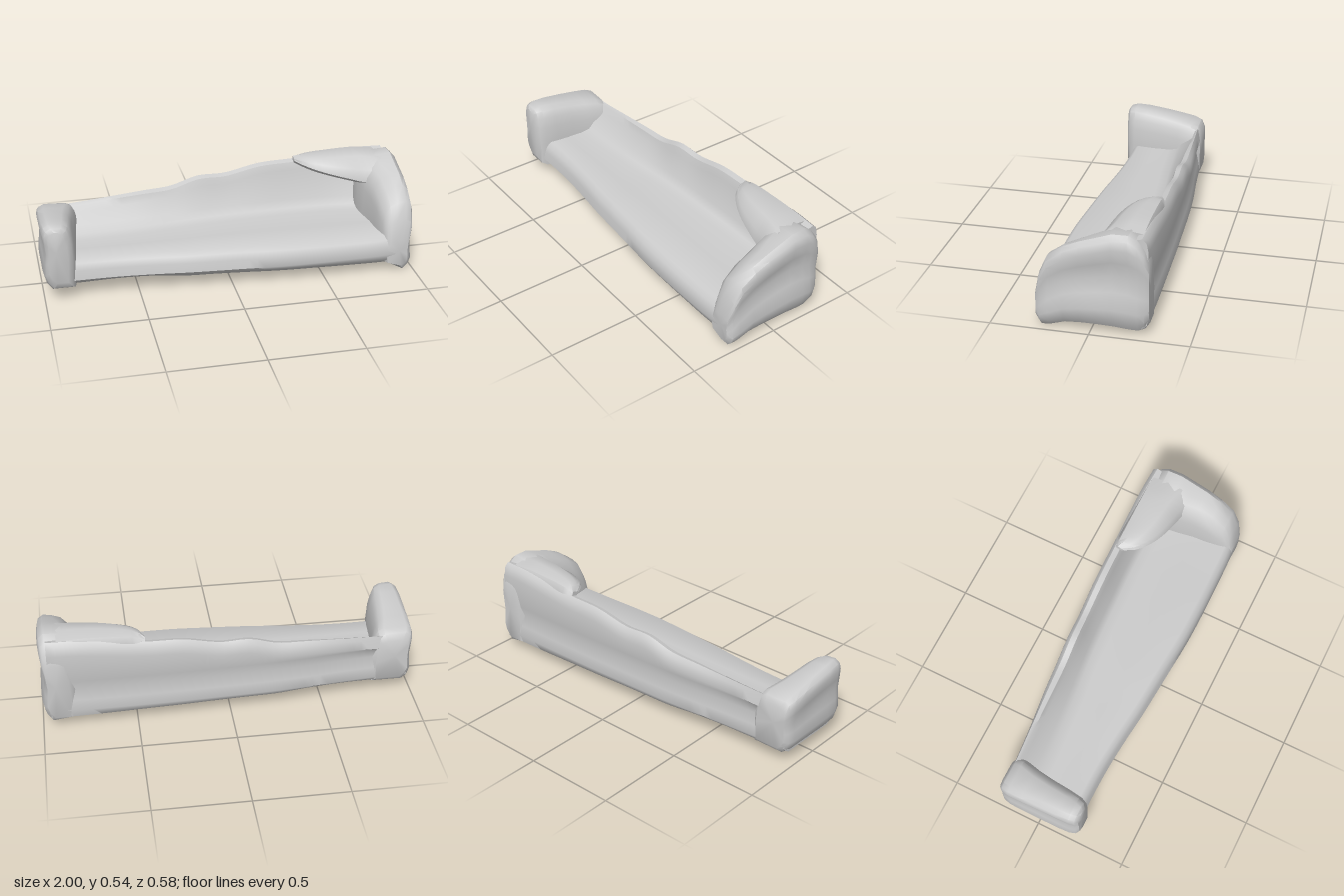
import * as THREE from 'three';
import { toCreasedNormals } from 'three/addons/utils/BufferGeometryUtils.js';

const material = new THREE.MeshStandardMaterial({ color: 0xcccccc });

// Skin a list of rings (arrays of [x, y, z]) and close both ends.
function loft(name, rings, crease = 0.75) {
  const n = rings[0].length, pos = rings.flat(2), idx = [];
  for (let i = 0; i < rings.length - 1; i++) {
    for (let j = 0; j < n; j++) {
      const a = i * n + j, b = i * n + (j + 1) % n;
      idx.push(a, b, a + n, b, b + n, a + n);
    }
  }
  [0, rings.length - 1].forEach((r, end) => {
    const c = pos.length / 3;
    for (let k = 0; k < 3; k++) pos.push(rings[r].reduce((s, p) => s + p[k], 0) / n);
    for (let j = 0; j < n; j++) {
      const a = r * n + j, b = r * n + (j + 1) % n;
      if (end) idx.push(a, b, c); else idx.push(b, a, c);
    }
  });
  // turn the faces outwards whichever way the rings run
  const P = (i) => new THREE.Vector3().fromArray(pos, i * 3);
  let volume = 0;
  for (let i = 0; i < idx.length; i += 3) volume += P(idx[i]).dot(P(idx[i + 1]).cross(P(idx[i + 2])));
  if (volume < 0) idx.reverse();
  const g = new THREE.BufferGeometry();
  g.setAttribute('position', new THREE.Float32BufferAttribute(pos, 3));
  g.setIndex(idx);
  const mesh = new THREE.Mesh(toCreasedNormals(g, crease), material);
  mesh.name = name;
  return mesh;
}

// Smoothly resample rows of [position, ...values].
function resample(rows, count) {
  const size = rows[0].length - 1;
  const curve = new THREE.CubicInterpolant(rows.map((r) => r[0]), rows.flatMap((r) => r.slice(1)), size);
  const first = rows[0][0], span = rows[rows.length - 1][0] - first;
  return Array.from({ length: count + 1 }, (_, i) => {
    const t = first + span * i / count;
    return [t, ...curve.evaluate(t)];
  });
}

// Seat and backrest in one section: front z, back z, seat y, seat back z, crest y, crest z, bottom y
function bodyRing([x, zF, zB, yS, zS, yT, zC, yB]) {
  return [
    [yB, zF - 0.05], [yB + 0.03, zF - 0.012], [0.11, zF], [0.16, zF - 0.008],
    [yS - 0.025, zF - 0.02], [yS - 0.004, zF - 0.045], [yS - 0.004, 0.06],
    [yS, zS + 0.07], [yS + 0.012, zS + 0.02], [yS + 0.05, zS - 0.01],
    [yT - 0.05, zC + 0.012], [yT - 0.01, zC - 0.002], [yT, (zC + zB) / 2],
    [yT - 0.02, zB + 0.012], [yT - 0.07, zB + 0.002], [0.29, zB + 0.008],
    [0.235, zB + 0.02], [0.17, zB + 0.008], [0.11, zB], [yB + 0.02, zB + 0.01], [yB, zB + 0.04],
  ].map(([y, z]) => [x, y, z]);
}

// Arm section: top y, bottom y, inner x, outer x, waist depth, width of the rounded inner shoulder
function armRing([z, t, b, xi, xo, waist, shoulder]) {
  const s = Math.sign(xo), h = t - b;
  return [
    [xi, Math.max(b, 0.06)], [xo - s * 0.04, b], [xo - s * 0.012, b + h * 0.1], [xo, b + h * 0.22],
    [xo - s * waist * 0.5, b + h * 0.4], [xo - s * waist, b + h * 0.56], [xo - s * waist * 0.4, b + h * 0.72],
    [xo, b + h * 0.86], [xo - s * 0.008, b + h * 0.95], [xo - s * 0.035, t],
    [xi + s * shoulder, t - h * 0.015], [xi + s * shoulder * 0.5, t - h * 0.06],
    [xi + s * 0.012, t - h * 0.17], [xi, t - h * 0.32], [xi - s * 0.005, b + h * 0.42],
  ].map(([x, y]) => [x, y, z]);
}

// Overhanging corner pad: lip z, lip y, top y, underside y
function padRing([x, zL, yL, yT, yU]) {
  const back = -0.272;
  return [
    [yL, zL], [yL + (yT - yL) * 0.5, zL - 0.012], [yT - 0.008, zL + (back - zL) * 0.3], [yT, zL + (back - zL) * 0.6],
    [yT - 0.012, back + 0.02], [yT - 0.05, back], [yU - 0.01, back + 0.01],
    [yU, zL + (back - zL) * 0.65], [(yU + yL) / 2 - 0.005, zL + (back - zL) * 0.25],
  ].map(([y, z]) => [x, y, z]);
}

export function createModel() {
  const group = new THREE.Group();
  group.name = 'sofa';

  // Long seat with a backrest that climbs towards the left
  group.add(loft('seatAndBackrest', resample([
    [-0.97, 0.212, -0.21, 0.225, -0.10, 0.36, -0.18, 0.072],
    [-0.8, 0.208, -0.22, 0.222, -0.10, 0.365, -0.185, 0.07],
    [-0.6, 0.212, -0.236, 0.22, -0.11, 0.377, -0.195, 0.075],
    [-0.4, 0.228, -0.257, 0.22, -0.125, 0.39, -0.2, 0.075],
    [-0.25, 0.245, -0.268, 0.22, -0.14, 0.4, -0.205, 0.066],
    [-0.1, 0.257, -0.275, 0.222, -0.155, 0.443, -0.212, 0.066],
    [0.05, 0.268, -0.28, 0.222, -0.165, 0.443, -0.22, 0.064],
    [0.25, 0.283, -0.287, 0.22, -0.175, 0.482, -0.225, 0.06],
    [0.45, 0.287, -0.291, 0.217, -0.185, 0.49, -0.23, 0.056],
    [0.65, 0.285, -0.293, 0.214, -0.185, 0.51, -0.23, 0.05],
    [0.8, 0.282, -0.293, 0.214, -0.17, 0.525, -0.225, 0.046],
    [0.955, 0.27, -0.288, 0.22, -0.15, 0.525, -0.22, 0.04],
  ], 44).map(bodyRing)));

  // High left arm, sloping down to a pointed front foot, pinched along its outer side
  group.add(loft('leftArm', [
    [0.275, 0.19, 0.035, 0.85, 0.962, 0.004, 0.04],
    [0.25, 0.3, 0.002, 0.84, 0.985, 0.01, 0.06],
    [0.21, 0.388, 0.008, 0.83, 0.993, 0.016, 0.08],
    [0.13, 0.448, 0.035, 0.82, 0.997, 0.024, 0.1],
    [0.05, 0.485, 0.042, 0.815, 1, 0.032, 0.1],
    [-0.03, 0.512, 0.042, 0.8, 1, 0.036, 0.09],
    [-0.11, 0.54, 0.04, 0.79, 1, 0.034, 0.08],
    [-0.19, 0.54, 0.032, 0.79, 0.998, 0.028, 0.08],
    [-0.235, 0.512, 0.028, 0.8, 0.993, 0.02, 0.08],
    [-0.27, 0.465, 0.04, 0.82, 0.985, 0.014, 0.06],
    [-0.291, 0.4, 0.07, 0.85, 0.97, 0.008, 0.05],
  ].map(armRing)));

  // Low right arm, highest at its front
  group.add(loft('rightArm', [
    [0.237, 0.415, 0.12, -0.875, -0.972, 0.004, 0.04],
    [0.222, 0.432, 0.085, -0.85, -0.988, 0.008, 0.05],
    [0.19, 0.44, 0.066, -0.835, -0.996, 0.012, 0.06],
    [0.12, 0.436, 0.066, -0.825, -1, 0.016, 0.06],
    [0.02, 0.422, 0.068, -0.815, -1, 0.018, 0.06],
    [-0.08, 0.405, 0.07, -0.8, -1, 0.016, 0.06],
    [-0.16, 0.39, 0.07, -0.78, -0.998, 0.012, 0.06],
    [-0.2, 0.375, 0.075, -0.78, -0.988, 0.008, 0.06],
    [-0.22, 0.34, 0.1, -0.8, -0.97, 0.004, 0.05],
  ].map(armRing)));

  // Pad that fills the corner between the backrest and the left arm
  group.add(loft('cornerPad', resample([
    [0.445, -0.205, 0.495, 0.51, 0.475],
    [0.48, -0.15, 0.49, 0.525, 0.46],
    [0.54, -0.105, 0.475, 0.535, 0.435],
    [0.62, -0.07, 0.455, 0.54, 0.41],
    [0.72, -0.045, 0.43, 0.544, 0.38],
    [0.8, -0.03, 0.41, 0.544, 0.36],
    [0.9, 0.0, 0.42, 0.535, 0.36],
  ], 14).map(padRing)));

  return group;
}
